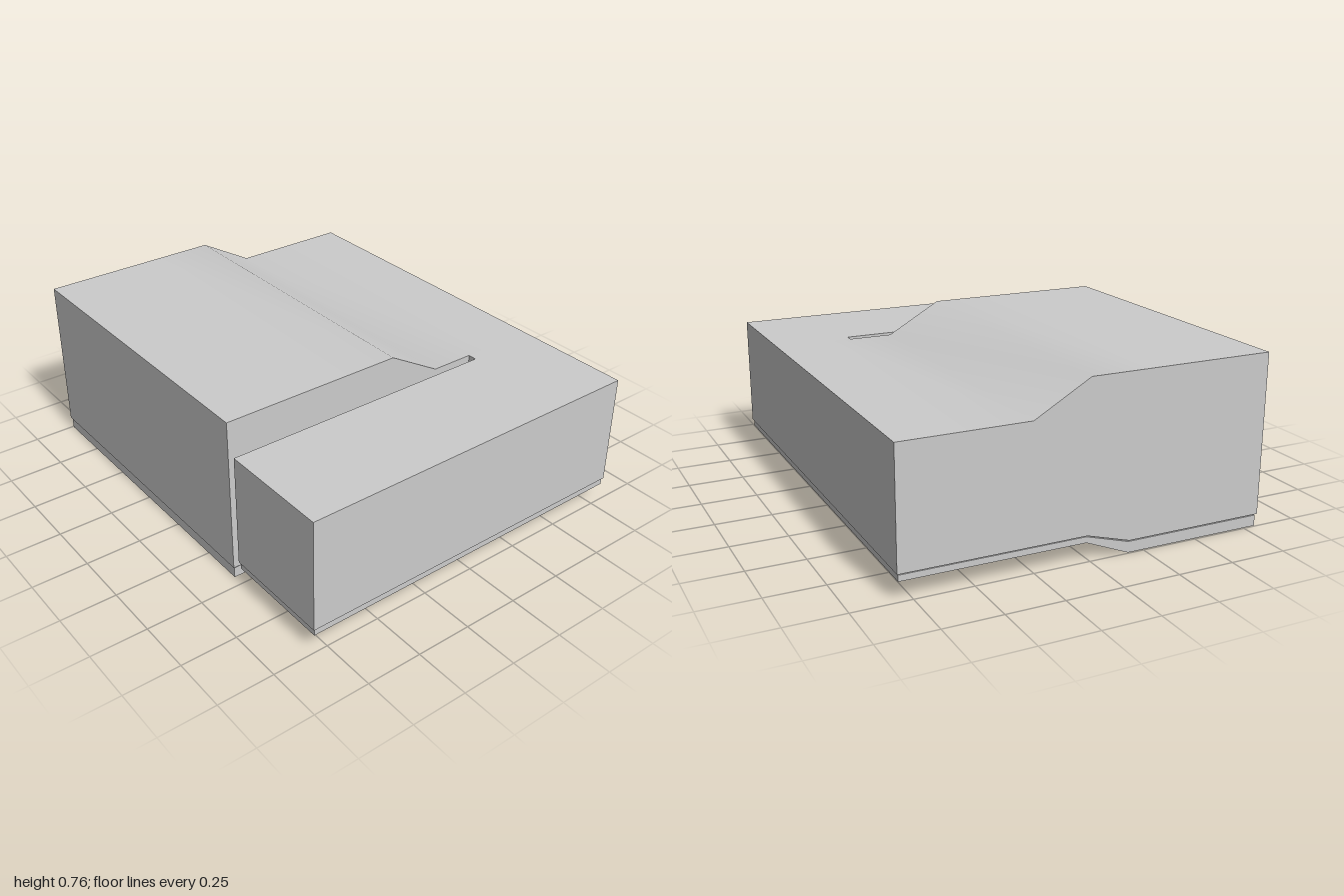
import * as THREE from 'three';
import { toCreasedNormals } from 'three/addons/utils/BufferGeometryUtils.js';

const D = 0.813; // half depth

export function createModel() {
  const group = new THREE.Group();
  const material = new THREE.MeshStandardMaterial({ color: 0xcccccc });

  const add = (name, geometry) => {
    const mesh = new THREE.Mesh(geometry, material);
    mesh.name = name;
    group.add(mesh);
  };

  // Side profile given as [z, y], swept along x
  const sweepX = (name, profile, x0, x1) => {
    const shape = new THREE.Shape(profile.map(([z, y]) => new THREE.Vector2(-z, y)));
    const g = new THREE.ExtrudeGeometry(shape, { depth: x1 - x0, bevelEnabled: false });
    g.rotateY(Math.PI / 2).translate(x0, 0, 0);
    add(name, toCreasedNormals(g, 0.6));
  };

  // Plan given as [x, z], raised along y
  const raiseY = (name, plan, y0, y1) => {
    const shape = new THREE.Shape(plan.map(([x, z]) => new THREE.Vector2(x, -z)));
    const g = new THREE.ExtrudeGeometry(shape, { depth: y1 - y0, bevelEnabled: false });
    g.rotateX(-Math.PI / 2).translate(0, y0, 0);
    add(name, toCreasedNormals(g, 0.6));
  };

  const box = (name, [x0, x1], [y0, y1], [z0, z1]) => {
    const g = new THREE.BoxGeometry(x1 - x0, y1 - y0, z1 - z0);
    add(name, g.translate((x0 + x1) / 2, (y0 + y1) / 2, (z0 + z1) / 2));
  };

  // Side arm plan with the strip that closes the slot at the back
  const armPlan = (inset) => [
    [0.455 - inset, -D + inset], [1 - inset, -D + inset], [1 - inset, D - inset],
    [0.495 + inset, D - inset], [0.495 + inset, -0.46 - inset], [0.455 - inset, -0.46 - inset],
  ];

  // Layer below the main body, between two stepped lines
  const stepped = (name, inset, low, high) => {
    const front = D - inset;
    sweepX(name, [
      [front, low[0]], [0.18, low[0]], [-0.015, low[1]], [-front, low[1]],
      [-front, high[1]], [-0.015, high[1]], [0.18, high[0]], [front, high[0]],
    ], -1 + inset, 0.455 - inset);
  };

  // Main body with raised front and sloped step
  sweepX('mainBody', [
    [D, 0.055], [0.18, 0.055], [-0.015, 0.112], [-D, 0.112], [-D, 0.62],
    [-0.55, 0.62], [-0.26, 0.62], [-0.015, 0.76], [0.25, 0.76], [D, 0.76],
  ], -1, 0.455);
  raiseY('sideArm', armPlan(0), 0.112, 0.62);

  // Connector bridging the slot
  box('slotConnector', [0.45, 0.5], [0.27, 0.49], [-0.19, 0.55]);

  // Recessed seam and base plates
  stepped('mainSeam', 0.015, [0.047, 0.105], [0.056, 0.113]);
  stepped('mainBasePlate', 0.006, [0, 0.08], [0.048, 0.106]);
  raiseY('armSeam', armPlan(0.015), 0.105, 0.113);
  raiseY('armBasePlate', armPlan(0.006), 0.08, 0.106);

  // Square-backed foot extending the low part of the base
  box('baseFoot', [-0.77, 0.2], [0, 0.085], [-0.015, 0.185]);

  return group;
}
